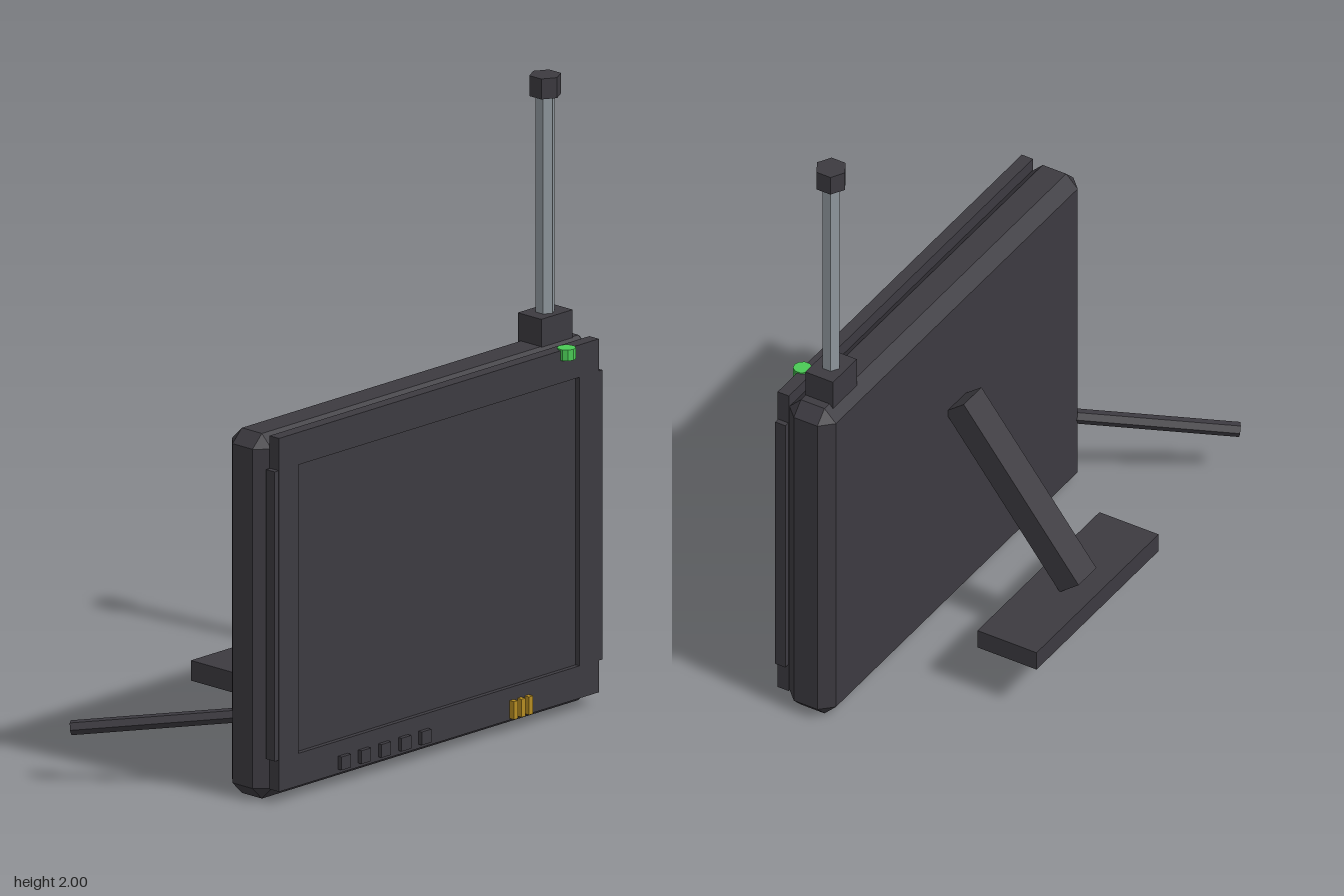
import * as THREE from 'three';
import { ConvexGeometry } from 'three/addons/geometries/ConvexGeometry.js';

const material = (name, color) => {
  const m = new THREE.MeshStandardMaterial({ color, flatShading: true });
  m.name = name;
  return m;
};

export function createModel() {
  const dark = material('charcoal plastic', 0x3c3a40);
  const steel = material('steel', 0x8f979d);
  const green = material('green', 0x4ac955);
  const gold = material('gold', 0xb58c22);

  const model = new THREE.Group();
  model.name = 'portableScreen';

  const add = (name, geometry, mat, x = 0, y = 0, z = 0) => {
    const mesh = new THREE.Mesh(geometry, mat);
    mesh.name = name;
    mesh.position.set(x, y, z);
    model.add(mesh);
    return mesh;
  };
  // Box given by its limits on each axis
  const box = (name, mat, [x0, x1], [y0, y1], [z0, z1]) =>
    add(name, new THREE.BoxGeometry(x1 - x0, y1 - y0, z1 - z0), mat,
      (x0 + x1) / 2, (y0 + y1) / 2, (z0 + z1) / 2);
  const rod = (name, mat, r, y0, y1, x, z, sides = 6) =>
    add(name, new THREE.CylinderGeometry(r, r, y1 - y0, sides), mat, x, (y0 + y1) / 2, z);
  // Turn a mesh built along y so that it runs from a to b
  const span = (mesh, a, b) => {
    mesh.position.copy(a).add(b).multiplyScalar(0.5);
    mesh.quaternion.setFromUnitVectors(new THREE.Vector3(0, 1, 0), b.clone().sub(a).normalize());
  };

  // Rear casing: box with chamfered edges and corners
  const cx = 0.131, w = 0.735, h = 0.58, d = 0.083, c = 0.041;
  const corners = [];
  for (const sx of [-1, 1]) for (const sy of [-1, 1]) for (const sz of [-1, 1]) {
    corners.push(
      new THREE.Vector3(sx * w, sy * (h - c), sz * (d - c)),
      new THREE.Vector3(sx * (w - c), sy * h, sz * (d - c)),
      new THREE.Vector3(sx * (w - c), sy * (h - c), sz * d));
  }
  add('casing', new ConvexGeometry(corners), dark, cx, h, 0.217);

  // Front bezel with the screen opening
  const rect = (path, x0, x1, y0, y1) =>
    path.moveTo(x0, y0).lineTo(x1, y0).lineTo(x1, y1).lineTo(x0, y1).closePath();
  const frame = new THREE.Shape();
  rect(frame, -0.57, 0.832, 0.04, 1.163);
  const opening = new THREE.Path();
  rect(opening, -0.485, 0.747, 0.143, 1.06);
  frame.holes.push(opening);
  add('bezel', new THREE.ExtrudeGeometry(frame, { depth: 0.04, bevelEnabled: false }), dark, 0, 0, 0.298);
  box('screen', dark, [-0.49, 0.752], [0.138, 1.065], [0.295, 0.322]);

  // Side rails on both edges of the bezel
  for (const s of [-1, 1]) {
    const x = cx + s * 0.708;
    box('sideRail', dark, [x - 0.01, x + 0.01], [0.14, 1.06], [0.3, 0.336]);
  }

  // Row of push buttons
  for (let i = 0; i < 5; i++) {
    const x = -0.29 + i * 0.088;
    box('button', dark, [x - 0.021, x + 0.021], [0.053, 0.095], [0.33, 0.352]);
  }

  // Plain gold trim bars
  for (const x of [0.45, 0.483, 0.516]) {
    box('trimBar', gold, [x - 0.009, x + 0.009], [0.045, 0.102], [0.334, 0.356]);
  }

  // Indicator lamp
  rod('indicatorLamp', green, 0.029, 1.132, 1.167, 0.692, 0.336, 10);

  // Antenna
  box('antennaBase', dark, [0.66, 0.797], [1.1, 1.247], [0.162, 0.261]);
  rod('antennaRod', steel, 0.03, 1.24, 1.945, 0.728, 0.212);
  rod('antennaTip', dark, 0.05, 1.935, 2, 0.728, 0.212);

  // Rear stand
  const leg = add('standLeg', new THREE.BoxGeometry(0.102, 0.665, 0.086), dark);
  span(leg, new THREE.Vector3(0.13, 0.25, -0.298), new THREE.Vector3(0.13, 0.7725, 0.112));
  box('standFoot', dark, [-0.22, 0.48], [0.162, 0.226], [-0.368, -0.157]);

  // Trailing cable stub at the rear corner
  const a = new THREE.Vector3(-0.555, 0.247, 0.175), b = new THREE.Vector3(-0.852, 0.177, -0.265);
  span(add('cableStub', new THREE.CylinderGeometry(0.023, 0.023, a.distanceTo(b), 6), dark), a, b);

  return model;
}
